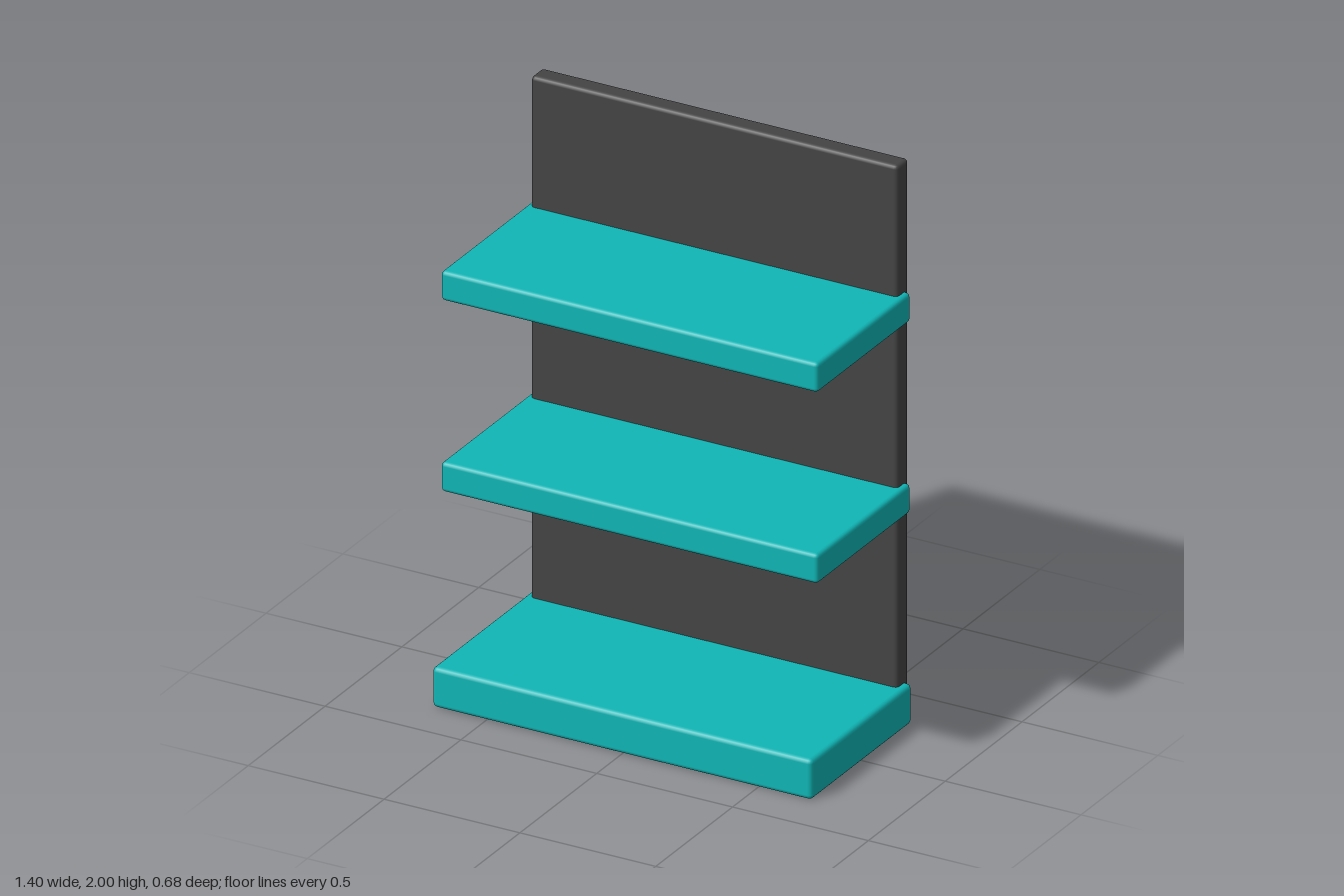
import * as THREE from 'three';
import { RoundedBoxGeometry } from 'three/addons/geometries/RoundedBoxGeometry.js';

export function createModel() {
  const model = new THREE.Group();
  model.name = 'shelfUnit';

  const charcoal = new THREE.MeshStandardMaterial({ color: 0x444444 });
  charcoal.name = 'charcoal';
  const teal = new THREE.MeshStandardMaterial({ color: 0x10b5b5 });
  teal.name = 'teal';

  // Soft-edged board, centred on x, spanning the given y and z ranges
  function addBoard(name, width, [y0, y1], [z0, z1], material, radius = 0.014) {
    const geometry = new RoundedBoxGeometry(width, y1 - y0, z1 - z0, 2, radius);
    const mesh = new THREE.Mesh(geometry, material);
    mesh.name = name;
    mesh.position.set(0, (y0 + y1) / 2, (z0 + z1) / 2);
    model.add(mesh);
  }

  // Upright back panel
  addBoard('backPanel', 1.35, [0.004, 2], [-0.338, -0.263], charcoal);

  // Deeper, thicker base
  addBoard('baseShelf', 1.398, [0, 0.143], [-0.318, 0.338], teal, 0.016);

  // Two matching shelves, sunk into the panel
  addBoard('middleShelf', 1.388, [0.749, 0.854], [-0.318, 0.29], teal);
  addBoard('upperShelf', 1.388, [1.43, 1.535], [-0.318, 0.29], teal);

  return model;
}
